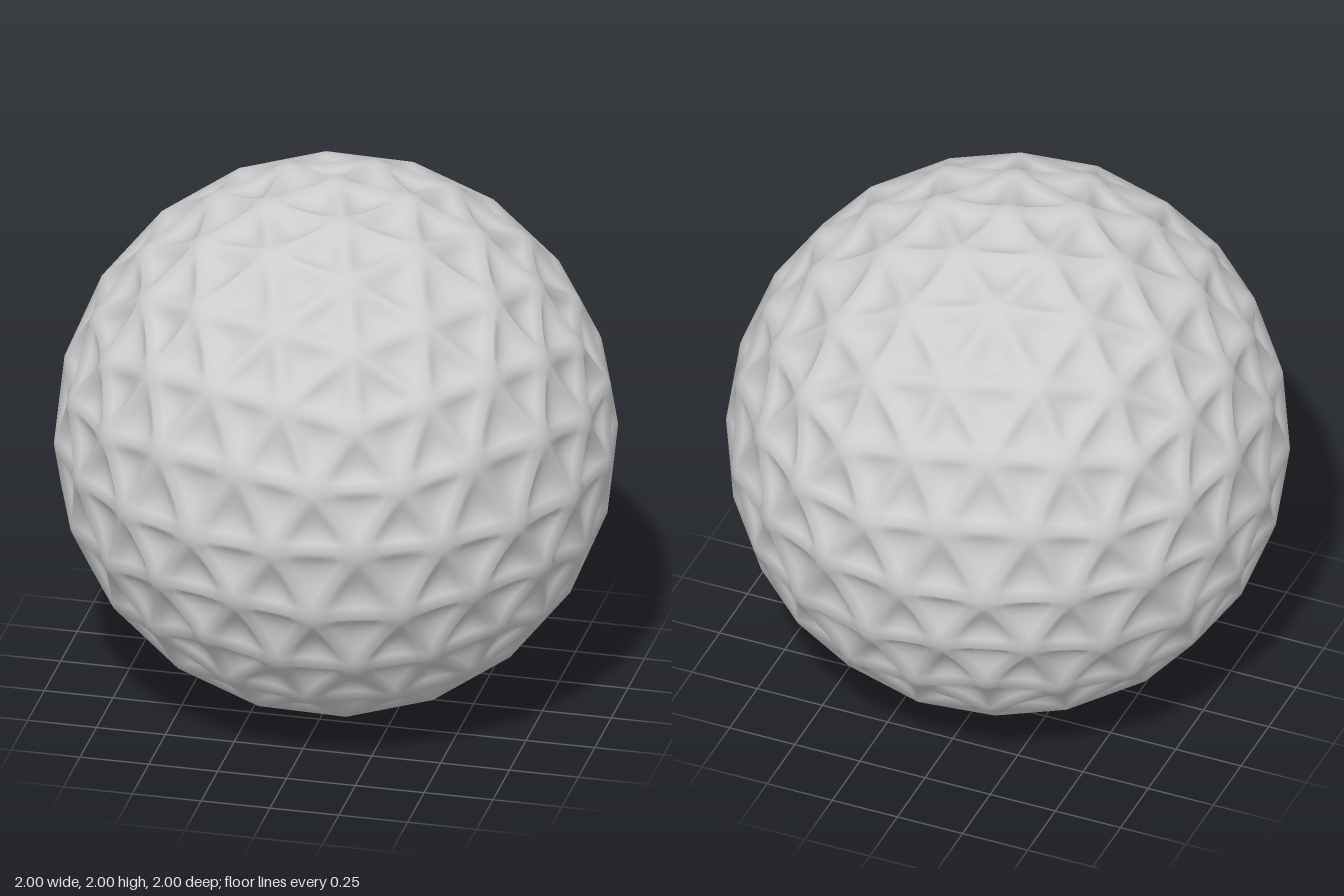
import * as THREE from 'three';
import { mergeVertices } from 'three/addons/utils/BufferGeometryUtils.js';

const DIMPLE_DEPTH = 0.036;
const STEPS = 8; // grid steps along each side of a dimpled triangle

// Icosahedron standing on a corner, split twice into 320 triangles on the unit sphere
function sphereTriangles() {
  const ring = (y, offset) => Array.from({ length: 5 }, (_, k) => {
    const a = (k + offset) * Math.PI * 2 / 5;
    return new THREE.Vector3(2 * Math.cos(a), y, 2 * Math.sin(a)).normalize();
  });
  const top = new THREE.Vector3(0, 1, 0), bottom = new THREE.Vector3(0, -1, 0);
  const u = ring(1, 0), l = ring(-1, 0.5);
  let tris = [];
  for (let k = 0; k < 5; k++) {
    const n = (k + 1) % 5;
    tris.push([top, u[n], u[k]], [u[k], u[n], l[k]], [l[k], u[n], l[n]], [bottom, l[k], l[n]]);
  }
  const mid = (p, q) => p.clone().add(q).normalize();
  for (let i = 0; i < 2; i++) {
    tris = tris.flatMap(([a, b, c]) => {
      const ab = mid(a, b), bc = mid(b, c), ca = mid(c, a);
      return [[a, ab, ca], [ab, b, bc], [ca, bc, c], [ab, bc, ca]];
    });
  }
  return tris;
}

// One triangle with straight rims and a smooth hollow in the middle
function addDimple(out, [a, b, c]) {
  const inward = a.clone().add(b).add(c).normalize().negate();
  const point = (i, j) => {
    const s = i / STEPS, t = j / STEPS, r = 1 - s - t;
    const p = new THREE.Vector3()
      .addScaledVector(a, r).addScaledVector(b, s).addScaledVector(c, t)
      .addScaledVector(inward, DIMPLE_DEPTH * 27 * r * s * t);
    return [p.x, p.y, p.z];
  };
  for (let i = 0; i < STEPS; i++) {
    for (let j = 0; j < STEPS - i; j++) {
      out.push(...point(i, j), ...point(i + 1, j), ...point(i, j + 1));
      if (i + j < STEPS - 1) {
        out.push(...point(i + 1, j), ...point(i + 1, j + 1), ...point(i, j + 1));
      }
    }
  }
}

export function createModel() {
  const positions = [];
  for (const tri of sphereTriangles()) addDimple(positions, tri);

  // Weld the triangles so the ridges shade smoothly
  let geometry = new THREE.BufferGeometry();
  geometry.setAttribute('position', new THREE.Float32BufferAttribute(positions, 3));
  geometry = mergeVertices(geometry, 1e-4);
  geometry.computeVertexNormals();
  geometry.translate(0, 1, 0);

  const material = new THREE.MeshStandardMaterial({ color: 0xcccccc });
  material.name = 'light grey';
  const ball = new THREE.Mesh(geometry, material);
  ball.name = 'dimpledBall';

  const group = new THREE.Group();
  group.name = 'golfBall';
  group.add(ball);
  return group;
}
